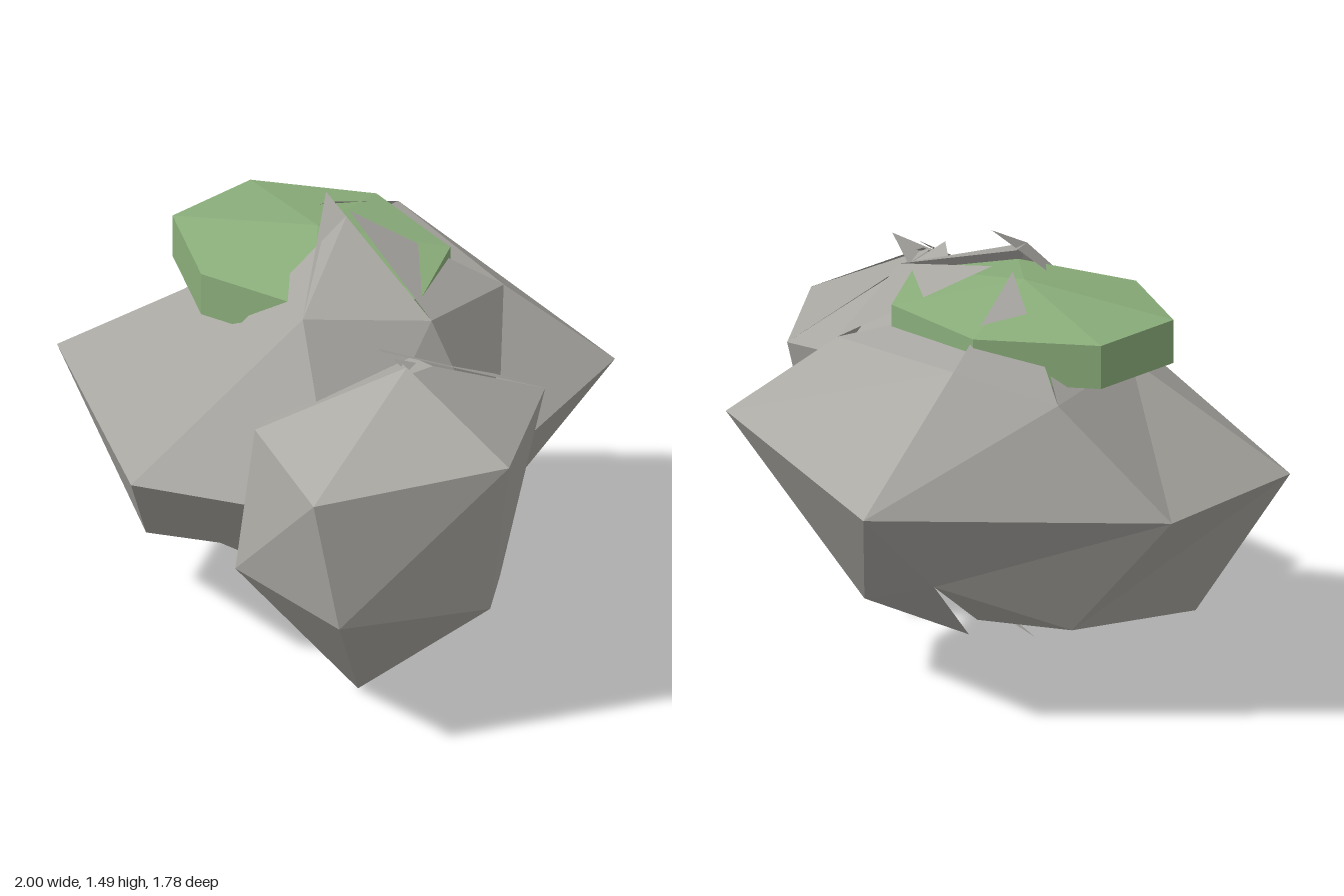
import * as THREE from 'three';

// Faceted lump: rings run left -> front -> right -> back, from top to bottom.
// Each sector has its own cap tip, which gives the splintered peaks.
function lump(rings, topTips, bottomTips) {
  const pos = [];
  const tri = (a, b, c) => pos.push(...a, ...b, ...c);
  const n = rings[0].length;
  for (let i = 0; i < n; i++) {
    const j = (i + 1) % n;
    tri(topTips[i % topTips.length], rings[0][i], rings[0][j]);
    for (let r = 0; r < rings.length - 1; r++) {
      const up = rings[r], low = rings[r + 1];
      tri(up[i], low[i], up[j]);
      tri(up[j], low[i], low[j]);
    }
    const last = rings[rings.length - 1];
    tri(last[j], last[i], bottomTips[i % bottomTips.length]);
  }
  const g = new THREE.BufferGeometry();
  g.setAttribute('position', new THREE.Float32BufferAttribute(pos, 3));
  g.computeVertexNormals();
  return g;
}

export function createModel() {
  const stone = new THREE.MeshStandardMaterial({ color: 0xa8a6a1, flatShading: true, side: THREE.DoubleSide });
  stone.name = 'stone';
  const moss = new THREE.MeshStandardMaterial({ color: 0x8aad7a, flatShading: true, side: THREE.DoubleSide });
  moss.name = 'moss';

  const model = new THREE.Group();
  model.name = 'mossyRocks';
  const add = (name, geometry, material) => {
    const mesh = new THREE.Mesh(geometry, material);
    mesh.name = name;
    model.add(mesh);
  };

  // Large boulder: shoulder, waist and base rings
  add('largeRock', lump([
    [[-0.64, 1.12, -0.35], [-0.5, 1.12, 0.17], [-0.15, 1.13, 0.44], [0.18, 1.31, 0.42],
      [0.43, 1.27, 0.07], [0.28, 1.17, -0.41], [-0.33, 1.21, -0.52]],
    [[-1, 0.75, -0.19], [-0.99, 0.77, 0.41], [-0.15, 0.74, 0.89], [0.5, 0.74, 0.58],
      [0.67, 0.8, 0], [0.56, 0.91, -0.65], [-0.26, 0.77, -0.89]],
    [[-0.56, 0.28, -0.19], [-0.59, 0.21, 0.39], [-0.18, 0.35, 0.45], [0.3, 0.2, 0.2],
      [0.42, 0.32, 0], [0.17, 0.28, -0.4], [-0.2, 0.42, -0.47]],
  ], [
    [-0.2, 1.34, 0], [-0.16, 1.32, 0], [0, 1.49, 0.04], [-0.18, 1.48, -0.04],
    [-0.11, 1.42, -0.08], [-0.18, 1.32, -0.05], [-0.2, 1.42, -0.08],
  ], [
    [-0.03, 0.18, 0], [-0.1, 0.19, 0.05], [0, 0.15, 0.03], [-0.17, 0.1, 0.07],
    [0.02, 0.1, -0.05], [0.02, 0.1, -0.05], [0, 0.15, -0.03],
  ]), stone);

  // Small boulder leaning on the front left
  add('smallRock', lump([
    [[0.22, 1.01, 0.68], [0.65, 0.94, 0.83], [1, 1.01, 0.27], [0.68, 1.01, -0.21], [-0.02, 0.98, -0.08]],
    [[0.24, 0.54, 0.79], [0.72, 0.49, 0.78], [0.87, 0.42, 0.23], [0.62, 0.34, -0.06], [-0.05, 0.5, 0.35]],
  ], [
    [0.58, 1.25, 0.33], [0.54, 1.24, 0.31], [0.5, 1.25, 0.32], [0.47, 1.27, 0.34], [0.66, 1.27, 0.29],
  ], [
    [0.4, 0, 0.38], [0.4, 0, 0.38], [0.4, 0.08, 0.385], [0.4, 0.08, 0.38], [0.4, 0.02, 0.38],
  ]), stone);

  // Moss cap: flat seven-sided pad with shallow cones above and below
  const outline = [[-0.67, -0.17], [-0.67, 0.19], [-0.31, 0.41], [0.13, 0.32],
    [0.32, 0.01], [0.13, -0.31], [-0.31, -0.4]];
  const ring = (y) => outline.map(([x, z]) => [x, y, z]);
  add('mossCap', lump([ring(1.29), ring(1.14)], [[-0.18, 1.37, 0]], [[-0.18, 1.06, 0]]), moss);

  return model;
}
